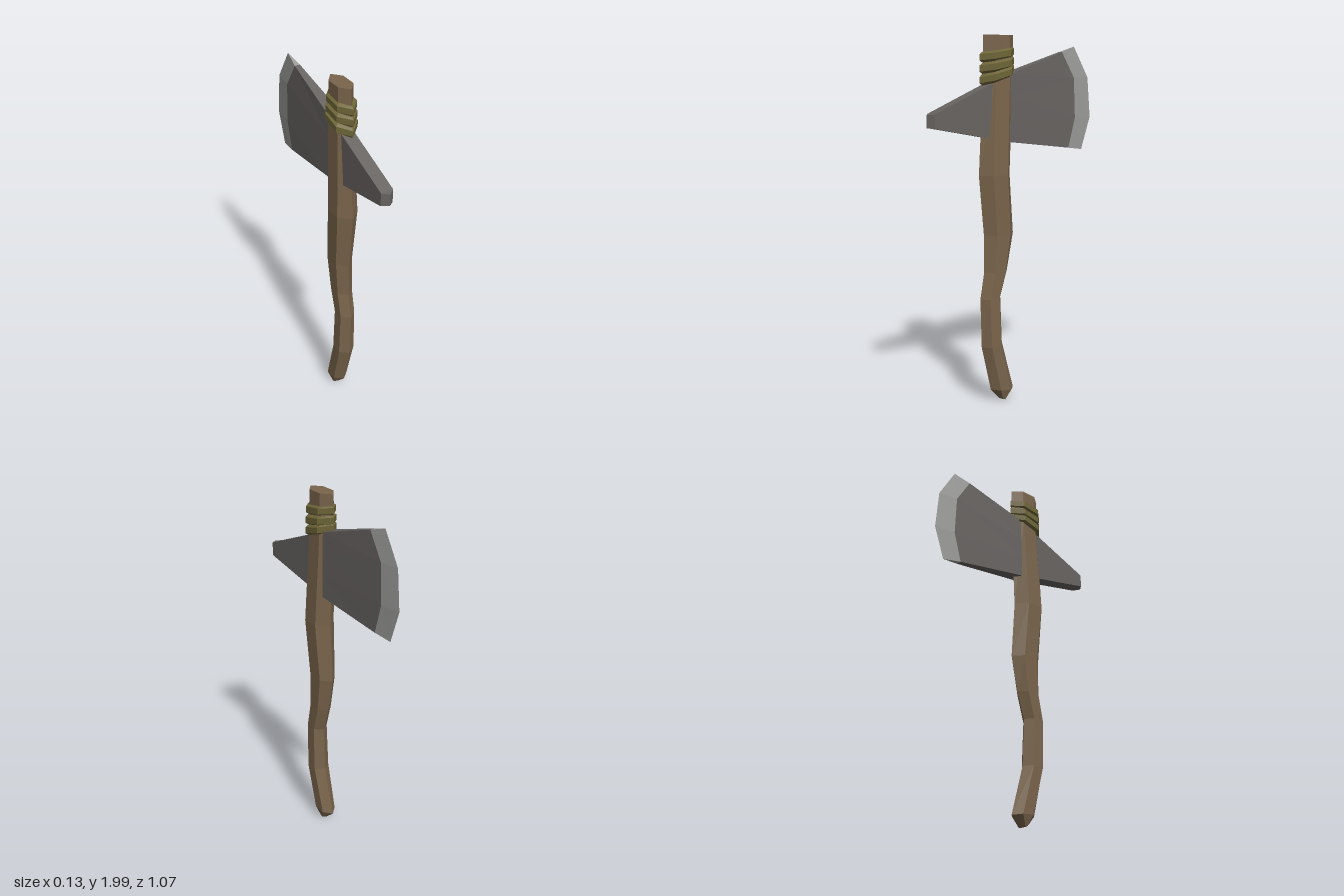
import * as THREE from 'three';

const mat = (color) => new THREE.MeshStandardMaterial({ color, flatShading: true });

// Skin a series of rings (arrays of [x, y, z]), with optional end caps
function loft(name, rings, material, capStart = true, capEnd = true) {
  const pos = [];
  const v = (p) => new THREE.Vector3(...p);
  const tri = (a, b, c) => {
    const area = v(b).sub(v(a)).cross(v(c).sub(v(a))).length();
    if (area > 1e-8) pos.push(...a, ...b, ...c);
  };
  const n = rings[0].length;
  for (let r = 0; r < rings.length - 1; r++) {
    const a = rings[r], b = rings[r + 1];
    for (let i = 0; i < n; i++) {
      const j = (i + 1) % n;
      tri(a[i], a[j], b[j]);
      tri(a[i], b[j], b[i]);
    }
  }
  const first = rings[0], last = rings[rings.length - 1];
  for (let i = 1; i < n - 1; i++) {
    if (capStart) tri(first[0], first[i + 1], first[i]);
    if (capEnd) tri(last[0], last[i], last[i + 1]);
  }
  const geo = new THREE.BufferGeometry();
  geo.setAttribute('position', new THREE.Float32BufferAttribute(pos, 3));
  geo.computeVertexNormals();
  const mesh = new THREE.Mesh(geo, material);
  mesh.name = name;
  return mesh;
}

// Six-sided section, pointed at front and back; yf and yb let it tilt
function hexRing(yf, yb, zf, zb, hw) {
  const k = 0.27;
  const at = (x, t) => [x, yf + (yb - yf) * t, zf + (zb - zf) * t];
  return [at(0, 0), at(hw, k), at(hw, 1 - k), at(0, 1), at(-hw, 1 - k), at(-hw, k)];
}

// Head section from [y, z] points listed top to bottom, mirrored in x
function headRing(points, hw) {
  const side = points.map(([y, z]) => [hw, y, z]);
  return [...side, ...side.map(([x, y, z]) => [-x, y, z]).reverse()];
}

// Four evenly spaced points down a straight column
const column = (top, bottom, z) =>
  [0, 1, 2, 3].map((i) => [top + (bottom - top) * i / 3, z]);

export function createModel() {
  const group = new THREE.Group();
  const wood = mat(0x7a654c), stone = mat(0x686462);
  const edgeStone = mat(0x9c9c9a), cord = mat(0x6e6638);

  // Crooked handle, butt to top: yFront, yBack, zFront, zBack, half width
  const handle = [
    [0.02, 0.01, 0.095, 0.06, 0.025],
    [0.08, 0.065, 0.15, 0.0, 0.043],
    [0.33, 0.34, 0.208, 0.075, 0.049],
    [0.6, 0.6, 0.215, 0.085, 0.045],
    [0.745, 0.745, 0.19, 0.04, 0.046],
    [0.945, 0.945, 0.19, 0.0, 0.051],
    [1.27, 1.27, 0.22, 0.022, 0.062],
    [1.75, 1.8, 0.193, 0.0, 0.047],
    [2.0, 2.0, 0.19, 0.0, 0.043],
  ];
  group.add(loft('handle', handle.map((s) => hexRing(...s)), wood));

  // Stone head, from the narrow poll to the start of the ground bevel
  const bevel = [[1.91, -0.32], [1.77, -0.405], [1.55, -0.415], [1.385, -0.37]];
  const edge = [[1.94, -0.415], [1.77, -0.515], [1.55, -0.535], [1.37, -0.475]];
  const bevelRing = headRing(bevel, 0.015);
  group.add(loft('axeHead', [
    headRing(column(1.6, 1.535, 0.535), 0),
    headRing(column(1.605, 1.532, 0.508), 0.035),
    headRing(column(1.8, 1.44, 0.04), 0.035),
    bevelRing,
  ], stone, false, false));

  // Sharpened cutting edge
  group.add(loft('cuttingEdge', [bevelRing, headRing(edge, 0)], edgeStone, false, false));

  // Slanted cord bands: centre height at front and back
  const bands = [[1.768, 1.826], [1.828, 1.866], [1.886, 1.916]];
  const profile = [[-0.027, -0.016], [-0.016, 0], [0.016, 0], [0.027, -0.016]];
  bands.forEach(([yf, yb], i) => {
    const rings = [[-0.027, -0.035], ...profile, [0.027, -0.035]].map(([dy, out]) =>
      hexRing(yf + dy, yb + dy, 0.212 + out, -0.008 - out, 0.063 - i * 0.003 + out));
    group.add(loft('cordBand' + (i + 1), rings, cord, false, false));
  });

  return group;
}
